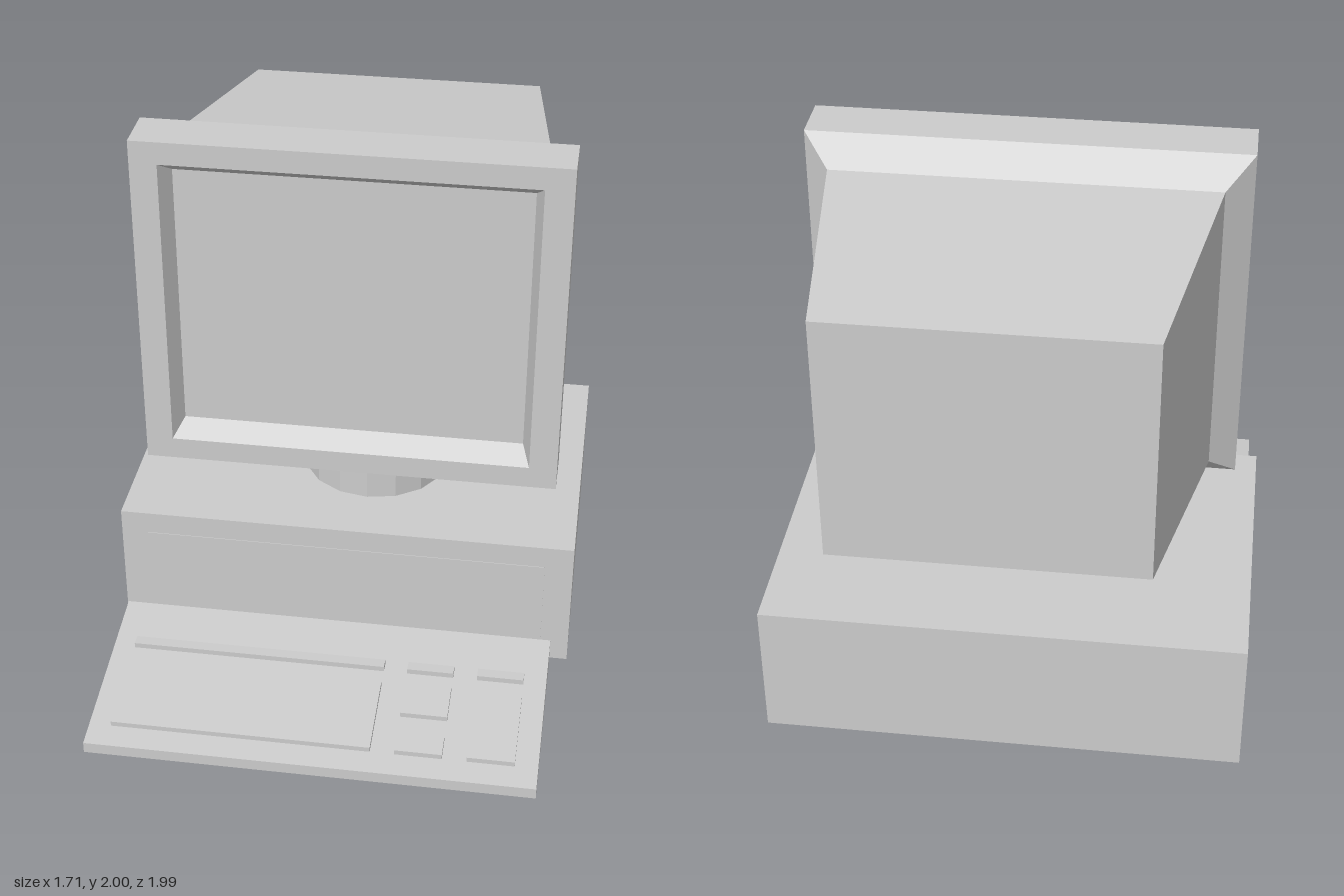
import * as THREE from 'three';

const material = new THREE.MeshStandardMaterial({ color: 0xcccccc, flatShading: true });

function part(name, geometry, x = 0, y = 0, z = 0) {
  const mesh = new THREE.Mesh(geometry, material);
  mesh.name = name;
  mesh.position.set(x, y, z);
  return mesh;
}

// Box given by its limits on each axis
function block(name, x0, x1, y0, y1, z0, z1) {
  return part(name, new THREE.BoxGeometry(x1 - x0, y1 - y0, z1 - z0),
    (x0 + x1) / 2, (y0 + y1) / 2, (z0 + z1) / 2);
}

// Skin through rectangles [left, right, bottom, top, z], with a cap on the first and last
function rectangleLoft(rings) {
  const corners = rings.map(([l, r, b, t, z]) => [[l, b, z], [r, b, z], [r, t, z], [l, t, z]]);
  const points = [];
  const quad = (a, b, c, d) => points.push(...a, ...b, ...c, ...a, ...c, ...d);
  quad(...corners[0]);
  for (let i = 0; i < corners.length - 1; i++) {
    const near = corners[i], far = corners[i + 1];
    for (let j = 0; j < 4; j++) {
      const k = (j + 1) % 4;
      quad(near[j], far[j], far[k], near[k]);
    }
  }
  quad(...corners[corners.length - 1].slice().reverse());
  const geometry = new THREE.BufferGeometry();
  geometry.setAttribute('position', new THREE.Float32BufferAttribute(points, 3));
  geometry.computeVertexNormals();
  return geometry;
}

// Solid with a (z, y) side profile, extruded across x
function sideProfile(name, profile, x0, x1) {
  const shape = new THREE.Shape(profile.map(([z, y]) => new THREE.Vector2(-z, y)));
  const geometry = new THREE.ExtrudeGeometry(shape, { depth: x1 - x0, bevelEnabled: false });
  geometry.rotateY(Math.PI / 2);
  return part(name, geometry, x0);
}

function createMonitor() {
  const monitor = new THREE.Group();
  monitor.name = 'monitor';
  // From the sunken screen over the frame to the tapered back
  monitor.add(part('monitorHousing', rectangleLoft([
    [-0.64, 0.635, 0.83, 1.865, 0.015],
    [-0.675, 0.665, 0.775, 1.915, 0.09],
    [-0.775, 0.768, 0.69, 2.0, 0.09],
    [-0.775, 0.768, 0.69, 2.0, -0.1],
    [-0.677, 0.673, 0.79, 1.905, -0.197],
    [-0.525, 0.58, 0.885, 1.81, -1.0],
  ])));
  monitor.add(part('neck', new THREE.CylinderGeometry(0.28, 0.28, 0.19, 16), 0.052, 0.615, -0.275));
  return monitor;
}

function createKeyboard() {
  const keyboard = new THREE.Group();
  keyboard.name = 'keyboard';
  const slopeY = (z) => 0.043 + (0.993 - z) * 0.124;
  keyboard.add(sideProfile('keyboardBase',
    [[0.993, 0], [0.285, 0], [0.285, slopeY(0.285)], [0.993, slopeY(0.993)]], -0.837, 0.79));

  // Sloped key fields: [x0, x1, back z, front z]
  const fields = [
    [-0.755, 0.19, 0.585, 0.907],
    [0.277, 0.448, 0.585, 0.732],
    [0.277, 0.448, 0.82, 0.907],
    [0.536, 0.707, 0.585, 0.907],
  ];
  for (const [x0, x1, back, front] of fields) {
    keyboard.add(sideProfile('keyField', [
      [front, slopeY(front) + 0.006], [back, slopeY(back) + 0.006],
      [back, slopeY(back) + 0.025], [front, slopeY(front) + 0.025],
    ], x0, x1));
  }

  // Level strips of keys along the back
  for (const [x0, x1] of [[-0.755, 0.19], [0.277, 0.448], [0.536, 0.707]]) {
    keyboard.add(block('functionKeys', x0, x1, 0.11, 0.13, 0.484, 0.526));
  }
  return keyboard;
}

export function createModel() {
  const model = new THREE.Group();
  model.name = 'desktopComputer';
  model.add(block('computerCase', -0.857, 0.855, 0, 0.517, -0.915, 0.228));
  model.add(block('frontPanel', -0.757, 0.75, 0.09, 0.43, 0.2, 0.231));
  model.add(createMonitor(), createKeyboard());
  return model;
}
